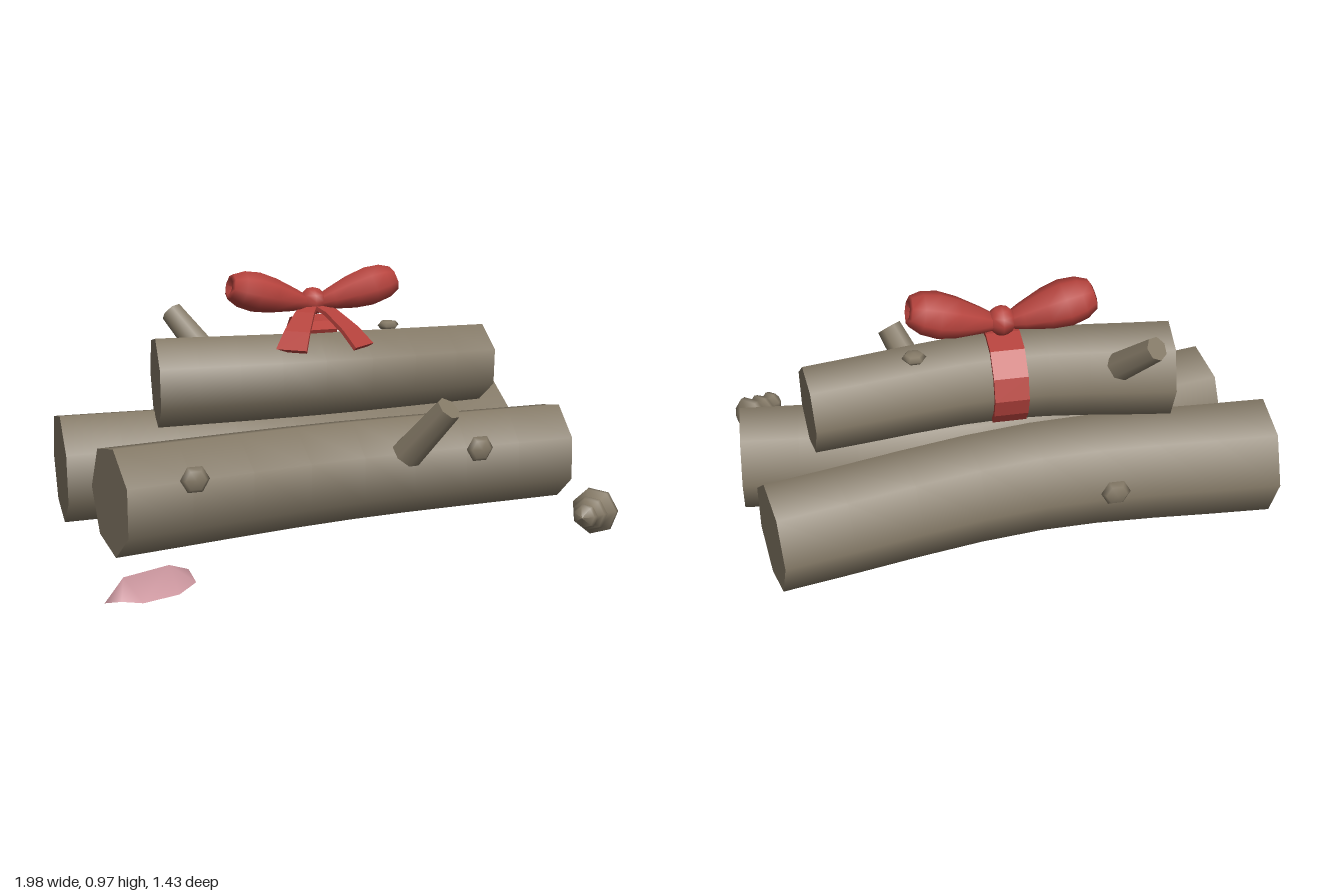
import * as THREE from 'three';

const V = (x, y, z) => new THREE.Vector3(x, y, z);
const UP = V(0, 1, 0);

export function createModel() {
  const wood = new THREE.MeshStandardMaterial({ color: 0x857a67 });
  const ribbonRed = new THREE.MeshStandardMaterial({ color: 0xb5423c });
  const leafPink = new THREE.MeshStandardMaterial({ color: 0xcd98a0, side: THREE.DoubleSide });
  wood.name = 'wood';
  ribbonRed.name = 'ribbonRed';
  leafPink.name = 'leafPink';

  const model = new THREE.Group();
  model.name = 'logPile';
  const add = (name, geometry, material, parent = model) => {
    const mesh = new THREE.Mesh(geometry, material);
    mesh.name = name;
    parent.add(mesh);
    return mesh;
  };
  // Turn a y-axis part so that it points along a direction
  const aim = (mesh, dir) => mesh.quaternion.setFromUnitVectors(UP, dir.clone().normalize());

  // Seven-sided log bent along a curve through three points
  const log = (name, points, rLeft, rRight) => {
    const curve = new THREE.CatmullRomCurve3(points);
    const geo = new THREE.CylinderGeometry(rRight, rLeft, 1, 7, 8, false, Math.PI);
    const pos = geo.attributes.position, nor = geo.attributes.normal;
    for (let i = 0; i < pos.count; i++) {
      const t = THREE.MathUtils.clamp(pos.getY(i) + 0.5, 0, 1);
      const tangent = curve.getTangent(t);
      const side = tangent.clone().cross(UP).normalize();
      const down = tangent.clone().cross(side);
      const p = curve.getPoint(t)
        .addScaledVector(down, pos.getX(i)).addScaledVector(side, pos.getZ(i));
      const n = V(0, 0, 0).addScaledVector(down, nor.getX(i))
        .addScaledVector(tangent, nor.getY(i)).addScaledVector(side, nor.getZ(i));
      pos.setXYZ(i, p.x, p.y, p.z);
      nor.setXYZ(i, n.x, n.y, n.z);
    }
    return add(name, geo, wood);
  };
  log('frontLog', [V(-0.865, 0.215, 0.09), V(0.1, 0.21, -0.055), V(0.975, 0.23, -0.01)], 0.21, 0.195);
  log('backLog', [V(-0.975, 0.23, -0.365), V(-0.08, 0.235, -0.345), V(0.9, 0.23, -0.52)], 0.218, 0.2);
  log('upperLog', [V(-0.62, 0.575, -0.225), V(0, 0.58, -0.165), V(0.725, 0.565, -0.24)], 0.178, 0.16);

  // Broken branch stubs
  const stub = (name, from, to, r0, r1) => {
    const dir = to.clone().sub(from);
    const mesh = add(name, new THREE.CylinderGeometry(r1, r0, dir.length(), 7), wood);
    mesh.position.copy(from).lerp(to, 0.5);
    aim(mesh, dir);
  };
  stub('frontBranch', V(0.245, 0.32, 0.2), V(0.355, 0.525, 0.345), 0.062, 0.05);
  stub('upperBranch', V(-0.405, 0.66, -0.32), V(-0.5, 0.8, -0.45), 0.056, 0.045);

  // Flattened knots on the bark
  const knot = (name, at, dir, r) => {
    const mesh = add(name, new THREE.SphereGeometry(r, 6, 4), wood);
    mesh.position.copy(at);
    mesh.scale.y = 0.45;
    aim(mesh, dir);
  };
  knot('frontKnotRight', V(-0.59, 0.32, 0.27), V(0, 0, 1), 0.055);
  knot('frontKnotLeft', V(0.545, 0.32, 0.21), V(0, 0, 1), 0.055);
  knot('backKnot', V(-0.335, 0.3, -0.595), V(0, 0, -1), 0.055);
  knot('upperKnot', V(0.335, 0.735, -0.24), V(0, 1, 0), 0.045);

  // Pine cone: stacked tiers narrowing to the tip
  const coneProfile = [[0, 0], [0.055, 0.005], [0.09, 0.04], [0.088, 0.06], [0.058, 0.09],
    [0.068, 0.105], [0.06, 0.12], [0.038, 0.145], [0.048, 0.16], [0.04, 0.178], [0, 0.205]];
  const pineCone = add('pineCone', new THREE.LatheGeometry(
    coneProfile.map(([r, y]) => new THREE.Vector2(r, y)), 7), wood);
  pineCone.position.set(0.955, 0.098, 0.412);
  aim(pineCone, V(-0.15, 0.02, 0.145));

  // Fallen leaf: low outline with a raised ridge
  const outline = [[-0.995, 0.67], [-0.865, 0.485], [-0.66, 0.44], [-0.665, 0.575],
    [-0.745, 0.67], [-0.875, 0.71], [-0.94, 0.675]];
  const ridge = [[-0.92, 0.61], [-0.75, 0.54]];
  const leafPoints = [...outline.map(([x, z]) => [x, 0.05, z]), ...ridge.map(([x, z]) => [x, 0.11, z])];
  const leaf = new THREE.BufferGeometry();
  leaf.setAttribute('position', new THREE.Float32BufferAttribute(leafPoints.flat(), 3));
  leaf.setIndex([0, 7, 1, 1, 7, 8, 1, 8, 2, 2, 8, 3, 3, 8, 4, 4, 8, 5, 5, 8, 7, 5, 7, 6, 6, 7, 0]);
  leaf.computeVertexNormals();
  add('leaf', leaf, leafPink);

  // Ribbon strip: a side profile given thickness and extruded across its width
  const strip = (points, width, thickness) => {
    const pts = points.map(([a, b]) => new THREE.Vector2(a, b));
    const inner = pts.map((p, i) => {
      const d = pts[Math.min(i + 1, pts.length - 1)].clone().sub(pts[Math.max(i - 1, 0)]).normalize();
      return new THREE.Vector2(p.x + d.y * thickness, p.y - d.x * thickness);
    });
    const geo = new THREE.ExtrudeGeometry(new THREE.Shape([...pts, ...inner.reverse()]),
      { depth: width, bevelEnabled: false });
    geo.translate(0, 0, -width / 2);
    return geo;
  };

  // Bow
  const bow = new THREE.Group();
  bow.name = 'bow';
  model.add(bow);
  const band = add('ribbonBand', strip([[0.1, 0.76], [0.15, 0.785], [0.23, 0.797], [0.32, 0.775],
    [0.39, 0.7], [0.415, 0.62], [0.395, 0.55], [0.36, 0.5]], 0.125, 0.016), ribbonRed, bow);
  band.rotation.y = Math.PI / 2;
  band.position.x = 0.01;

  const center = add('bowKnot', new THREE.SphereGeometry(0.055, 8, 6), ribbonRed, bow);
  center.position.set(0.015, 0.85, -0.235);

  const loopProfile = [[0, 0], [0.03, 0.01], [0.062, 0.08], [0.095, 0.17], [0.108, 0.24],
    [0.098, 0.3], [0.07, 0.342], [0.045, 0.348], [0, 0.315]];
  for (const s of [-1, 1]) {
    const sideName = s > 0 ? 'Left' : 'Right';
    const loop = add('bowLoop' + sideName, new THREE.LatheGeometry(
      loopProfile.map(([r, y]) => new THREE.Vector2(r, y)), 8), ribbonRed, bow);
    loop.scale.x = 0.72;
    loop.position.set(0.015, 0.838, -0.232);
    loop.rotation.z = -s * 1.32;

    // Tails widen as they fall forward
    const geo = strip([[0, 0.85], [0.09, 0.82], [0.18, 0.76], [0.245, 0.7]], 1, 0.016);
    const pos = geo.attributes.position;
    for (let i = 0; i < pos.count; i++) {
      pos.setZ(i, pos.getZ(i) * (0.05 + 0.3 * Math.max(pos.getX(i), 0)));
    }
    geo.computeVertexNormals();
    const tail = add('bowTail' + sideName, geo, ribbonRed, bow);
    tail.position.set(0.015, 0, -0.235);
    tail.rotation.y = -Math.PI / 2 + s * 0.65;
  }
  return model;
}
